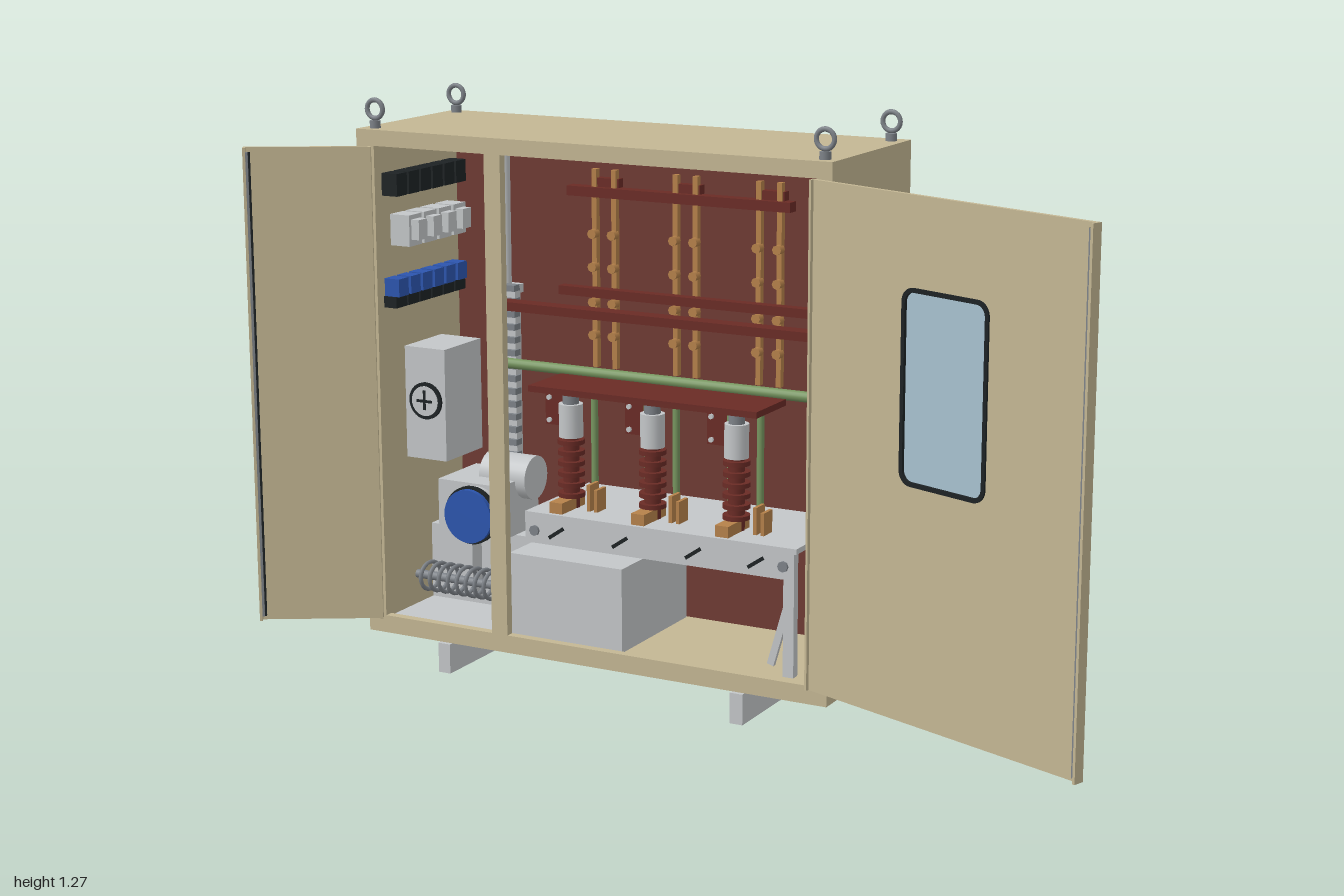
import * as THREE from 'three';

const mat = (name, color) => Object.assign(new THREE.MeshStandardMaterial({ color }), { name });
const tan = mat('beigePaint', 0xc3b693);
const wallRed = mat('primerRed', 0x6e3a33);
const barRed = mat('insulatorRed', 0x6a2b25);
const pale = mat('paleGrey', 0xc3c6c8);
const metal = mat('steelGrey', 0x7d8288);
const copper = mat('copper', 0xb5814a);
const green = mat('green', 0x76955f);
const blue = mat('blue', 0x2c55ae);
const glass = mat('paleGlass', 0xa6c0cf);
const black = mat('black', 0x1d2224);

function add(parent, name, geo, material, x = 0, y = 0, z = 0) {
  const m = new THREE.Mesh(geo, material);
  m.name = name;
  m.position.set(x, y, z);
  parent.add(m);
  return m;
}

// Box given by its minimum and maximum on each axis
function box(parent, name, material, x0, x1, y0, y1, z0, z1) {
  return add(parent, name, new THREE.BoxGeometry(x1 - x0, y1 - y0, z1 - z0), material,
    (x0 + x1) / 2, (y0 + y1) / 2, (z0 + z1) / 2);
}

// Cylinder along a chosen axis
function rod(parent, name, material, r, len, axis, x, y, z, sides = 16) {
  const g = new THREE.CylinderGeometry(r, r, len, sides);
  if (axis === 'x') g.rotateZ(Math.PI / 2);
  if (axis === 'z') g.rotateX(Math.PI / 2);
  return add(parent, name, g, material, x, y, z);
}

function group(parent, name) {
  const g = new THREE.Group();
  g.name = name;
  parent.add(g);
  return g;
}

// Rectangle with optional rounded corners, as a shape or as a hole
function rect(x0, x1, y0, y1, r = 0, Type = THREE.Shape) {
  const s = new Type();
  if (!r) {
    s.moveTo(x0, y0); s.lineTo(x1, y0); s.lineTo(x1, y1); s.lineTo(x0, y1); s.closePath();
    return s;
  }
  s.absarc(x1 - r, y0 + r, r, -Math.PI / 2, 0);
  s.absarc(x1 - r, y1 - r, r, 0, Math.PI / 2);
  s.absarc(x0 + r, y1 - r, r, Math.PI / 2, Math.PI);
  s.absarc(x0 + r, y0 + r, r, Math.PI, Math.PI * 1.5);
  s.closePath();
  return s;
}
const plate = (shape, depth, holes = []) => {
  shape.holes.push(...holes);
  return new THREE.ExtrudeGeometry(shape, { depth, bevelEnabled: false, curveSegments: 6 });
};

function buildCabinet(root) {
  const g = group(root, 'cabinet');
  box(g, 'leftWall', tan, -0.8, -0.785, 0.068, 1.205, -0.32, 0.05);
  box(g, 'rightWall', tan, 0.325, 0.34, 0.068, 1.205, -0.32, 0.05);
  box(g, 'roof', tan, -0.785, 0.325, 1.19, 1.205, -0.32, 0.05);
  box(g, 'floor', tan, -0.785, 0.325, 0.068, 0.085, -0.32, 0.05);
  box(g, 'backWall', tan, -0.785, 0.325, 0.085, 1.19, -0.32, -0.31);
  box(g, 'innerBackPanel', wallRed, -0.785, 0.325, 0.085, 1.19, -0.31, -0.304);
  add(g, 'frontFrame', plate(rect(-0.8, 0.34, 0.068, 1.205), 0.02, [
    rect(-0.755, -0.475, 0.108, 1.17, 0, THREE.Path),
    rect(-0.435, 0.305, 0.108, 1.17, 0, THREE.Path)]), tan, 0, 0, 0.05);
  for (const x of [-0.595, 0.135]) box(g, 'baseRail', pale, x - 0.015, x + 0.015, 0, 0.068, -0.323, 0.08);
  // lifting eyes
  for (const x of [-0.77, 0.31]) for (const z of [0.04, -0.285]) {
    add(g, 'liftingEye', new THREE.TorusGeometry(0.02, 0.0055, 8, 24), metal, x, 1.246, z);
    rod(g, 'liftingEyeBase', metal, 0.012, 0.016, 'y', x, 1.213, z);
  }
  // rear terminal studs
  const stud = (x, y) => {
    rod(g, 'studWasher', metal, 0.014, 0.008, 'z', x, y, -0.324);
    rod(g, 'studNut', metal, 0.01, 0.012, 'z', x, y, -0.333, 6);
    rod(g, 'studTip', metal, 0.006, 0.012, 'z', x, y, -0.344);
  };
  for (const x of [-0.38, -0.175, 0.03]) {
    [0.955, 0.88, 0.8, 0.725, 0.645].forEach((y, i) => {
      stud(x + 0.025, y);
      if (i < 4) stud(x - 0.025, y);
    });
    stud(x, 0.5);
  }
  // side drive socket
  box(g, 'sidePlate', tan, -0.81, -0.8, 0.115, 0.2, -0.14, 0.01);
  rod(g, 'sideKnob', black, 0.018, 0.032, 'x', -0.825, 0.165, -0.068);
}

// side = 1 opens to +x, side = -1 opens to -x; local +z is the inner face
function buildDoor(root, side, hingeX, width, angle, hasWindow) {
  const g = group(root, side > 0 ? 'rightDoor' : 'leftDoor');
  g.position.set(hingeX, 0, 0.078);
  g.rotation.y = -side * angle;
  const y0 = 0.105, y1 = 1.17;
  const span = (a, b) => side > 0 ? [a, b] : [-b, -a];
  const part = (name, m, a, b, c, d, e, f) => box(g, name, m, ...span(a, b), c, d, e, f);
  const win = [0.255, 0.48, 0.595, 0.99];
  const hole = hasWindow ? [rect(...win, 0.03, THREE.Path)] : [];
  add(g, 'doorPanel', plate(rect(...span(0, width), y0, y1), 0.01, hole), tan, 0, 0, -0.005);
  part('doorEdge', tan, width - 0.006, width, y0, y1, -0.006, 0.018);
  part('hingeEdge', tan, 0, 0.006, y0, y1, -0.005, 0.012);
  part('doorSeal', black, width - 0.015, width - 0.011, y0 + 0.01, y1 - 0.01, 0.005, 0.011);
  part('lockBar', metal, width - 0.011, width - 0.006, y0 + 0.01, y1 - 0.01, 0.005, 0.016);
  // outer handle
  const h = width - 0.045;
  part('handleBase', metal, h - 0.01, h + 0.01, 0.655, 0.735, -0.013, -0.005);
  part('handleGrip', pale, h - 0.006, h + 0.006, 0.625, 0.725, -0.026, -0.013);
  if (hasWindow) {
    add(g, 'windowFrame', plate(rect(...win, 0.03), 0.018,
      [rect(win[0] + 0.009, win[1] - 0.009, win[2] + 0.009, win[3] - 0.009, 0.022, THREE.Path)]), black, 0, 0, -0.009);
    add(g, 'windowPane', plate(rect(win[0] + 0.005, win[1] - 0.005, win[2] + 0.005, win[3] - 0.005, 0.025), 0.006), glass, 0, 0, -0.003);
  } else {
    part('warningPlate', copper, 0.03, 0.12, 1.0, 1.055, -0.009, -0.005);
    part('dataPlate', pale, 0.03, 0.19, 0.915, 0.99, -0.009, -0.005);
  }
}

function buildControlSide(root) {
  const g = group(root, 'controlCompartment');
  // modules on the side wall
  for (let i = 0; i < 6; i++) {
    const z = -0.28 + i * 0.048;
    box(g, 'terminalBlock', black, -0.785, -0.745, 1.05, 1.1, z, z + 0.04);
    box(g, 'relay', blue, -0.785, -0.747, 0.825, 0.865, z, z + 0.038);
    box(g, 'relayBase', black, -0.785, -0.752, 0.8, 0.825, z, z + 0.042);
  }
  for (let i = 0; i < 4; i++) {
    const z = -0.26 + i * 0.06;
    box(g, 'breaker', pale, -0.785, -0.735, 0.935, 1.005, z, z + 0.05);
    box(g, 'breakerLever', pale, -0.735, -0.715, 0.95, 0.995, z + 0.008, z + 0.042);
  }
  // gauge case
  box(g, 'gaugeCase', pale, -0.755, -0.65, 0.455, 0.71, -0.18, -0.03);
  rod(g, 'gaugeRim', black, 0.042, 0.006, 'z', -0.7, 0.59, -0.027, 28);
  rod(g, 'gaugeFace', pale, 0.034, 0.006, 'z', -0.7, 0.59, -0.025, 28);
  box(g, 'gaugeNeedle', black, -0.703, -0.697, 0.57, 0.615, -0.022, -0.02);
  box(g, 'gaugeNeedle', black, -0.72, -0.68, 0.587, 0.593, -0.022, -0.02);
  // drive motor
  box(g, 'motorBox', pale, -0.68, -0.515, 0.285, 0.41, -0.2, -0.04);
  rod(g, 'motorBody', pale, 0.06, 0.04, 'z', -0.575, 0.345, -0.03, 28);
  rod(g, 'motorRing', black, 0.066, 0.012, 'z', -0.575, 0.345, -0.012, 32);
  rod(g, 'motorCap', blue, 0.061, 0.02, 'z', -0.575, 0.345, -0.005, 32);
  rod(g, 'motorDrum', pale, 0.05, 0.12, 'x', -0.55, 0.41, -0.15, 24);
  box(g, 'gearBracket', pale, -0.655, -0.625, 0.12, 0.29, -0.13, -0.09);
  // spring drive
  box(g, 'driveBackPlate', pale, -0.76, -0.47, 0.085, 0.275, -0.3, -0.13);
  box(g, 'driveTray', pale, -0.76, -0.47, 0.085, 0.1, -0.13, 0.04);
  rod(g, 'springShaft', metal, 0.01, 0.28, 'x', -0.62, 0.17, -0.068);
  for (let i = 0; i < 9; i++) {
    const t = add(g, 'springCoil', new THREE.TorusGeometry(0.032, 0.005, 6, 20), metal, -0.725 + i * 0.024, 0.17, -0.068);
    t.rotation.y = Math.PI / 2 - 0.2;
  }
  box(g, 'springStop', pale, -0.525, -0.51, 0.125, 0.215, -0.11, -0.03);
  // upright rod
  rod(g, 'uprightRod', pale, 0.012, 0.76, 'y', -0.64, 0.78, -0.28);
  box(g, 'rodBracket', pale, -0.66, -0.615, 1.145, 1.165, -0.304, -0.265);
  box(g, 'rodBracket', pale, -0.665, -0.61, 0.8, 0.82, -0.304, -0.26);
}

function buildPowerSide(root) {
  const g = group(root, 'powerCompartment');
  // terminal ladders at both ends
  for (const [x, top] of [[-0.615, 0.82], [0.285, 0.9]]) {
    box(g, 'ladderRail', pale, x - 0.012, x + 0.012, 0.28, top, -0.28, -0.255);
    for (let y = 0.3; y < top; y += 0.03) box(g, 'ladderStep', metal, x - 0.016, x + 0.016, y, y + 0.014, -0.27, -0.245);
  }
  // bars and cross tube
  box(g, 'topBar', barRed, -0.47, 0.085, 1.038, 1.06, -0.295, -0.265);
  box(g, 'upperBar', barRed, -0.47, 0.3, 0.82, 0.84, -0.25, -0.225);
  box(g, 'lowerBar', barRed, -0.63, 0.225, 0.775, 0.795, -0.24, -0.2);
  rod(g, 'crossTube', green, 0.012, 0.935, 'x', -0.168, 0.65, -0.22);
  box(g, 'supportPlate', barRed, -0.44, 0.12, 0.636, 0.65, -0.18, -0.04);
  // one set per phase
  for (const x of [-0.38, -0.175, 0.03]) {
    box(g, 'barTab', barRed, x - 0.035, x + 0.035, 1.06, 1.08, -0.3, -0.28);
    for (const dx of [-0.025, 0.025]) {
      box(g, 'copperStrip', copper, x + dx - 0.006, x + dx + 0.006, 0.65, 1.1, -0.29, -0.275);
      for (const y of [0.725, 0.8, 0.88, 0.955]) rod(g, 'stripBolt', copper, 0.011, 0.02, 'z', x + dx, y, -0.272, 8);
    }
    const c = x + 0.013;
    rod(g, 'insulatorCap', pale, 0.027, 0.075, 'y', c, 0.568, -0.1, 20);
    rod(g, 'insulatorNeck', metal, 0.018, 0.032, 'y', c, 0.62, -0.1);
    rod(g, 'insulatorCore', barRed, 0.018, 0.16, 'y', c, 0.45, -0.1);
    for (let i = 0; i < 6; i++) rod(g, 'insulatorRib', barRed, 0.03, 0.01, 'y', c, 0.4 + i * 0.024, -0.1, 20);
    for (const dx of [-0.035, 0.037]) rod(g, 'greenPost', green, 0.008, 0.27, 'y', c + dx, 0.503, -0.14, 12);
    box(g, 'contactFoot', copper, c - 0.016, c + 0.016, 0.37, 0.395, -0.13, -0.03);
    box(g, 'contactClip', copper, c + 0.05, c + 0.058, 0.37, 0.43, -0.12, -0.08);
    box(g, 'contactClip', copper, c + 0.068, c + 0.076, 0.37, 0.42, -0.12, -0.08);
    // bolted side plate
    const p = x - 0.065;
    box(g, 'boltedPlate', barRed, p - 0.035, p + 0.035, 0.53, 0.605, -0.2, -0.18);
    for (const dx of [-0.024, 0.024]) for (const dy of [-0.026, 0.026])
      rod(g, 'plateBolt', pale, 0.006, 0.008, 'z', p + dx, 0.567 + dy, -0.178, 8);
  }
  // support table
  box(g, 'tableTop', pale, -0.44, 0.225, 0.358, 0.37, -0.3, -0.02);
  box(g, 'tableBeam', pale, -0.44, 0.215, 0.3, 0.358, -0.035, -0.02);
  for (const z of [-0.295, -0.04]) box(g, 'tableLeg', pale, 0.195, 0.22, 0.085, 0.358, z, z + 0.02);
  const brace = box(g, 'tableBrace', pale, 0.177, 0.193, 0.1, 0.28, -0.04, -0.03);
  brace.rotation.z = -0.28;
  for (const x of [-0.36, -0.2, -0.02, 0.13]) {
    const slot = box(g, 'beamSlot', black, x - 0.022, x + 0.022, 0.325, 0.333, -0.021, -0.017);
    slot.rotation.z = 0.6;
  }
  for (const x of [-0.415, 0.195]) rod(g, 'beamBolt', metal, 0.012, 0.008, 'z', x, 0.329, -0.018, 8);
  box(g, 'lowerBox', pale, -0.47, -0.185, 0.085, 0.275, -0.3, 0.0);
}

export function createModel() {
  const root = new THREE.Group();
  root.name = 'switchCabinet';
  buildCabinet(root);
  buildDoor(root, 1, 0.302, 0.732, 0.35, true);
  buildDoor(root, -1, -0.757, 0.275, 0.524, false);
  buildControlSide(root);
  buildPowerSide(root);
  return root;
}
